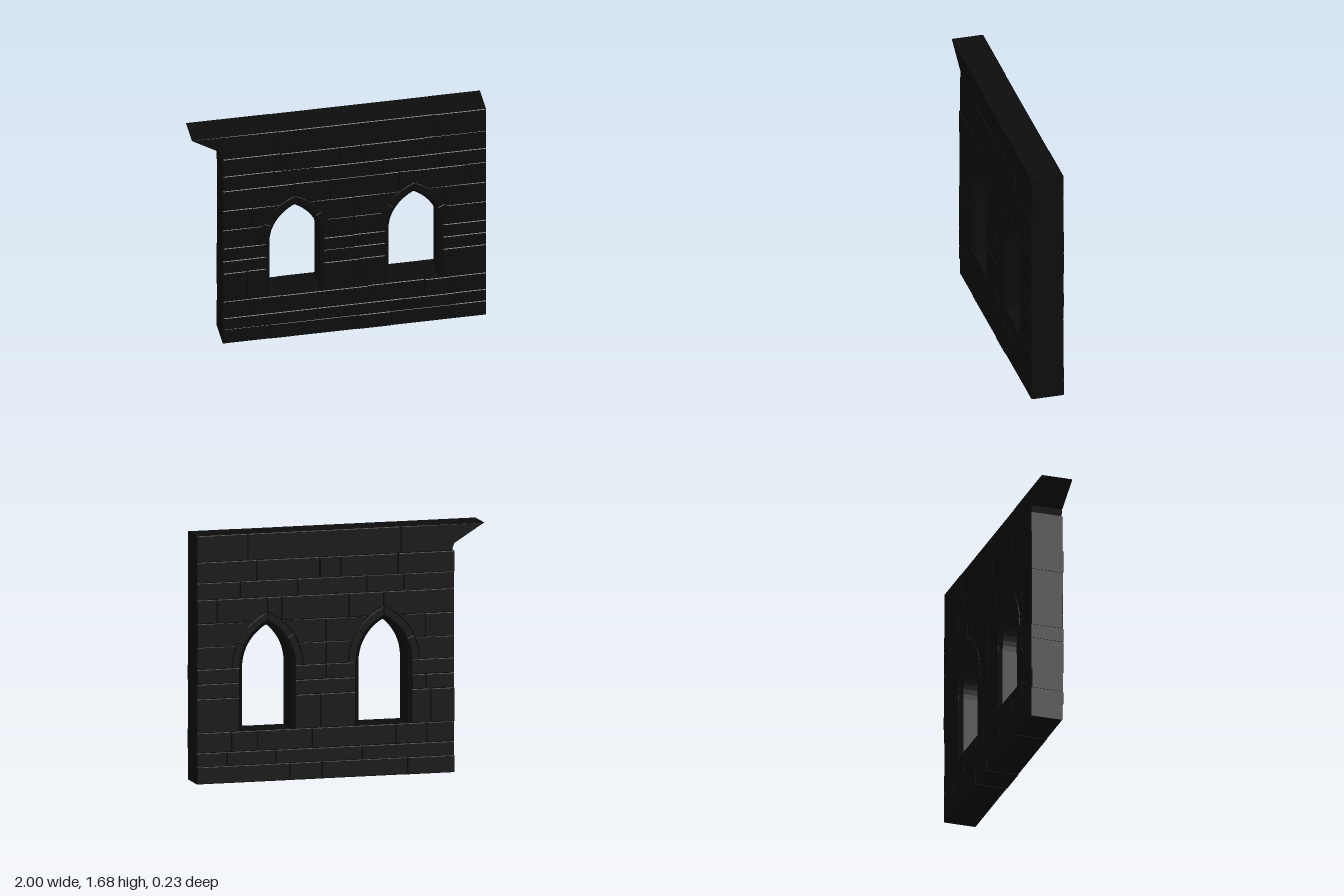
import * as THREE from 'three';

const LEFT = -0.79, RIGHT = 1, SILL = 0.345, SPRING = 0.775;
const WINDOWS = [-0.3, 0.51];          // centre x of each pointed window
const HALF = 0.17, RAD = 0.324, OFF = RAD - HALF; // arch arcs are centred OFF past the axis
const SPLAY = 0.025, RING = 0.076;     // jamb chamfer, outer edge of arch stones
const BEVEL = 0.004;

const stoneMat = new THREE.MeshStandardMaterial({ color: 0x0c0c0c });
const liningMat = new THREE.MeshStandardMaterial({ color: 0x0c0c0c, side: THREE.DoubleSide, flatShading: true });

// Courses: bottom, top, upright joints ('a' and 'b' stand for the two windows)
const COURSES = [
  [0, 0.115, [-0.465, 0.13, 0.355]],
  [0.115, 0.21, [-0.15, 0.45, 0.79]],
  [0.21, SILL, [-0.6, -0.385, 0.2, 0.58, 0.76]],
  [SILL, 0.575, [-0.625, 'a', 0.14, 'b']],
  [0.575, 0.675, [-0.59, 'a', 'b']],
  [0.675, SPRING, ['a', 0.1, 'b']],
  [SPRING, 0.925, ['a', 0.1, 'b']],
  [0.925, 1.085, [-0.59, 'a', 0.1, 'b']],
  [1.085, 1.245, ['a', -0.06, 0.41, 'b', 0.86]],
  [1.245, 1.36, [-0.44, -0.18, 0.3, 0.7]],
  [1.36, 1.5, [-0.4, 0, 0.145, 0.585]],
];
const OPEN_BEDS = [0.21, 0.575, 0.675, 1.085]; // level joints with a clear gap
const GAP = 0.002;

// Small seeded generator for uneven stone faces
let seed = 7;
const rand = () => (seed = (seed * 16807) % 2147483647) / 2147483647;

function stone(name, points, front = 0.109 + rand() * 0.008, back = 0.109 + rand() * 0.008) {
  const geo = new THREE.ExtrudeGeometry(new THREE.Shape(points), {
    depth: front + back - 2 * BEVEL, bevelEnabled: true, bevelSegments: 1,
    bevelSize: BEVEL, bevelThickness: BEVEL, bevelOffset: -BEVEL,
  });
  geo.translate(0, 0, BEVEL - back);
  const mesh = new THREE.Mesh(geo, stoneMat);
  mesh.name = name;
  return mesh;
}

// Half width left free for a window at height y
function clearance(y) {
  if (y < SPRING) return HALF + SPLAY;
  const r = RAD + RING, h = y - SPRING;
  return h >= r ? 0 : Math.max(0, Math.sqrt(r * r - h * h) - OFF);
}

// One side of a stone, listed from bottom to top
function edge(joint, side, y0, y1, top) {
  if (typeof joint === 'number') {
    const x = joint + side * (joint === LEFT || joint === RIGHT ? 0 : GAP / 2);
    return [new THREE.Vector2(x, y0), new THREE.Vector2(x, y1)];
  }
  const cx = WINDOWS[joint === 'a' ? 0 : 1], n = top > SPRING ? 8 : 1, pts = [];
  for (let i = 0; i <= n; i++) {
    const y = y0 + (y1 - y0) * i / n;
    const w = top > SPRING ? clearance(Math.max(y, SPRING)) : HALF + SPLAY;
    pts.push(new THREE.Vector2(cx + side * (w + GAP / 2), y));
  }
  return pts;
}

function buildCourse([y0, y1, joints]) {
  const course = new THREE.Group();
  course.name = 'stoneCourse';
  const ends = [LEFT, ...joints, RIGHT];
  const bottom = y0 + (OPEN_BEDS.includes(y0) ? GAP / 2 : 0);
  const top = y1 - (OPEN_BEDS.includes(y1) ? GAP / 2 : 0);
  for (let i = 0; i < ends.length - 1; i++) {
    const left = edge(ends[i], 1, bottom, top, y1);
    const right = edge(ends[i + 1], -1, bottom, top, y1);
    course.add(stone('wallStone', [...right, ...left.reverse()]));
  }
  return course;
}

// Top course with the cornice overhanging on one end
function buildTopCourse() {
  const course = new THREE.Group();
  course.name = 'topCourse';
  const y0 = 1.5, y1 = 1.68, g = GAP / 2;
  const v = (x, y) => new THREE.Vector2(x, y);
  course.add(stone('corniceStone',
    [v(-0.42 - g, y0), v(-0.42 - g, y1), v(-1, y1), v(-0.79, 1.55), v(-0.775, y0)], 0.107, 0.111));
  for (const [a, b] of [[-0.42 + g, 0.645 - g], [0.645 + g, RIGHT]])
    course.add(stone('topStone', [v(a, y0), v(b, y0), v(b, y1), v(a, y1)]));
  return course;
}

// Curved stones on one side of a window head, split at one angle
function archStones(cx, side, split) {
  const group = new THREE.Group();
  group.name = 'archStones';
  const inner = RAD + SPLAY, outer = RAD + RING;
  const at = (r, a) => new THREE.Vector2(cx + side * (r * Math.cos(a) - OFF), SPRING + r * Math.sin(a));
  const arc = (r, a0, a1) => Array.from({ length: 6 }, (_, i) => at(r, a0 + (a1 - a0) * i / 5));
  const crown = r => Math.acos(OFF / r);
  const parts = [[0, split - 0.003, split - 0.003], [split + 0.003, crown(outer), crown(inner)]];
  for (const [a0, outEnd, inEnd] of parts) {
    const pts = [...arc(outer, a0, outEnd), ...arc(inner, a0, inEnd).reverse()];
    group.add(stone('archStone', side > 0 ? pts : pts.reverse(), 0.115, 0.115));
  }
  return group;
}

// Outline of the pointed opening, widened by o
function outline(o) {
  const r = RAD + o, end = Math.acos(OFF / r), half = [[HALF + o, SILL - 0.003]];
  for (let i = 0; i <= 10; i++) {
    const a = end * i / 10;
    half.push([r * Math.cos(a) - OFF, SPRING + r * Math.sin(a)]);
  }
  return [...half, ...half.slice(0, -1).reverse().map(([x, y]) => [-x, y])];
}

// Reveal lofted through the wall with a chamfer on both faces
function buildLining(cx) {
  const sections = [[0.112, SPLAY + 0.003], [0.087, 0], [-0.087, 0], [-0.112, SPLAY + 0.003]];
  const pos = [], index = [];
  let n = 0;
  for (const [z, o] of sections) {
    const pts = outline(o);
    n = pts.length;
    for (const [x, y] of pts) pos.push(cx + x, y, z);
  }
  for (let s = 0; s < sections.length - 1; s++)
    for (let i = 0; i < n - 1; i++) {
      const a = s * n + i, b = a + n;
      index.push(a, b, a + 1, a + 1, b, b + 1);
    }
  const geo = new THREE.BufferGeometry();
  geo.setAttribute('position', new THREE.Float32BufferAttribute(pos, 3));
  geo.setIndex(index);
  geo.computeVertexNormals();
  const mesh = new THREE.Mesh(geo, liningMat);
  mesh.name = 'windowLining';
  return mesh;
}

export function createModel() {
  const wall = new THREE.Group();
  wall.name = 'stoneWall';
  for (const c of COURSES) wall.add(buildCourse(c));
  wall.add(buildTopCourse());
  WINDOWS.forEach((cx, i) => {
    const win = new THREE.Group();
    win.name = 'pointedWindow';
    win.add(buildLining(cx));
    win.add(archStones(cx, -1, i ? 0.578 : 0.434), archStones(cx, 1, i ? 0.434 : 0.578));
    wall.add(win);
  });
  return wall;
}
